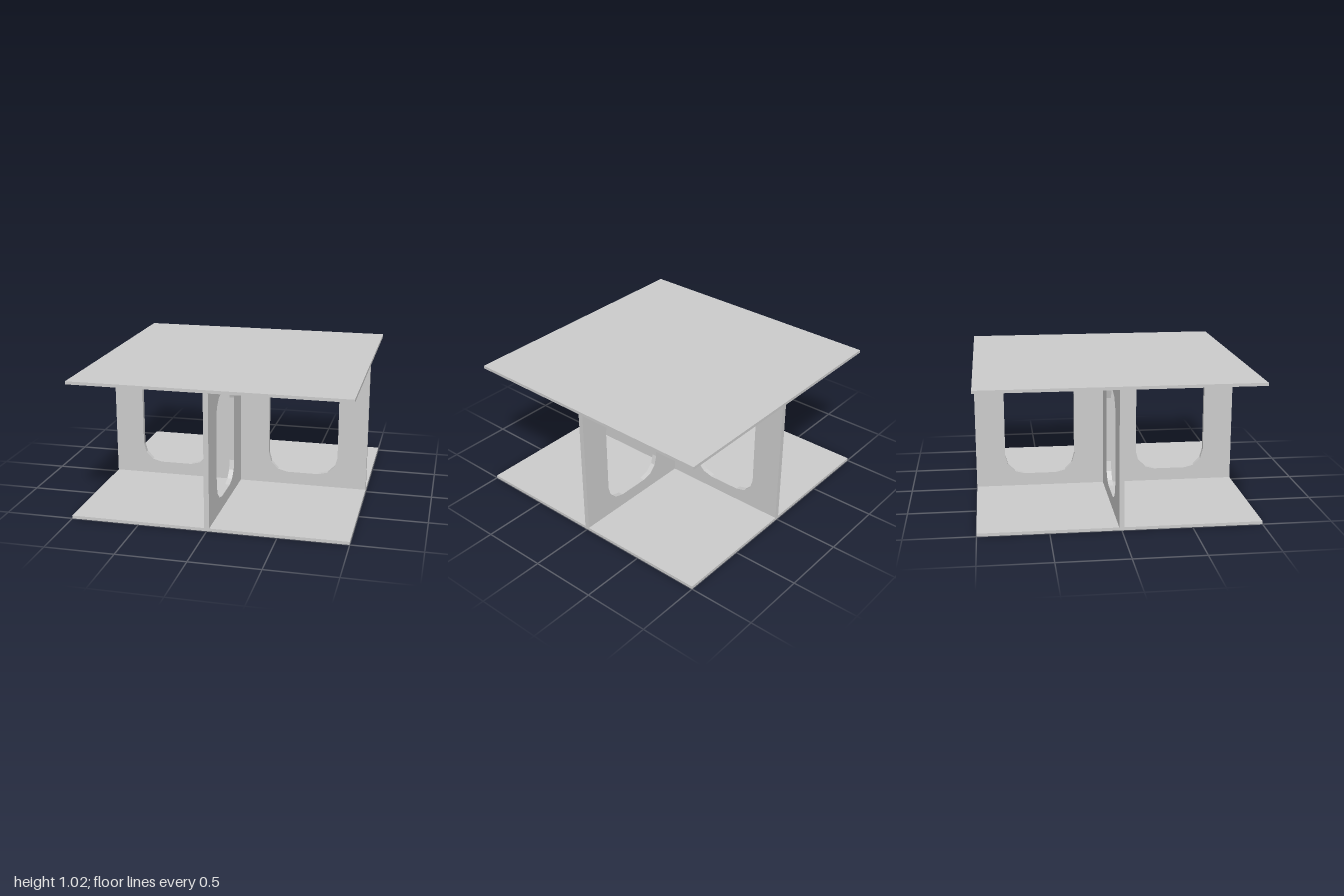
import * as THREE from 'three';

const HEIGHT = 1.022, PLATE = 0.022, WEB = 0.036;
const HOLE = { x: 0.51, y: HEIGHT / 2, w: 0.535, h: 0.785, r: 0.145 };

// Rounded window with three straight facets per corner
function windowPath(side) {
  const points = [];
  const dx = HOLE.w / 2 - HOLE.r, dy = HOLE.h / 2 - HOLE.r;
  [[1, 1], [-1, 1], [-1, -1], [1, -1]].forEach(([sx, sy], corner) => {
    for (let i = 0; i <= 3; i++) {
      const a = (corner + i / 3) * Math.PI / 2;
      points.push(new THREE.Vector2(
        side * HOLE.x + sx * dx + HOLE.r * Math.cos(a),
        HOLE.y + sy * dy + HOLE.r * Math.sin(a)));
    }
  });
  return new THREE.Path(points);
}

// Upright panel from x0 to x1, centred on z = 0, with a window on each given side
function panelGeometry(x0, x1, sides) {
  const shape = new THREE.Shape([
    new THREE.Vector2(x0, PLATE), new THREE.Vector2(x1, PLATE),
    new THREE.Vector2(x1, HEIGHT - PLATE), new THREE.Vector2(x0, HEIGHT - PLATE),
  ]);
  shape.holes = sides.map(windowPath);
  return new THREE.ExtrudeGeometry(shape, { depth: WEB, bevelEnabled: false })
    .translate(0, 0, -WEB / 2);
}

export function createModel() {
  const group = new THREE.Group();
  const material = new THREE.MeshStandardMaterial({ color: 0xcccccc, flatShading: true });
  const add = (name, geometry) => {
    const mesh = new THREE.Mesh(geometry, material);
    mesh.name = name;
    group.add(mesh);
    return mesh;
  };

  // Square top and bottom plates
  const plate = new THREE.BoxGeometry(2, PLATE, 2);
  add('bottomPlate', plate).position.y = PLATE / 2;
  add('topPlate', plate).position.y = HEIGHT - PLATE / 2;

  // Crossed panels: one full width, two halves meeting it at the centre
  add('crossPanel', panelGeometry(-1, 1, [-1, 1]));
  const half = panelGeometry(WEB / 2, 1, [1]);
  add('frontPanel', half).rotation.y = -Math.PI / 2;
  add('backPanel', half).rotation.y = Math.PI / 2;

  return group;
}
